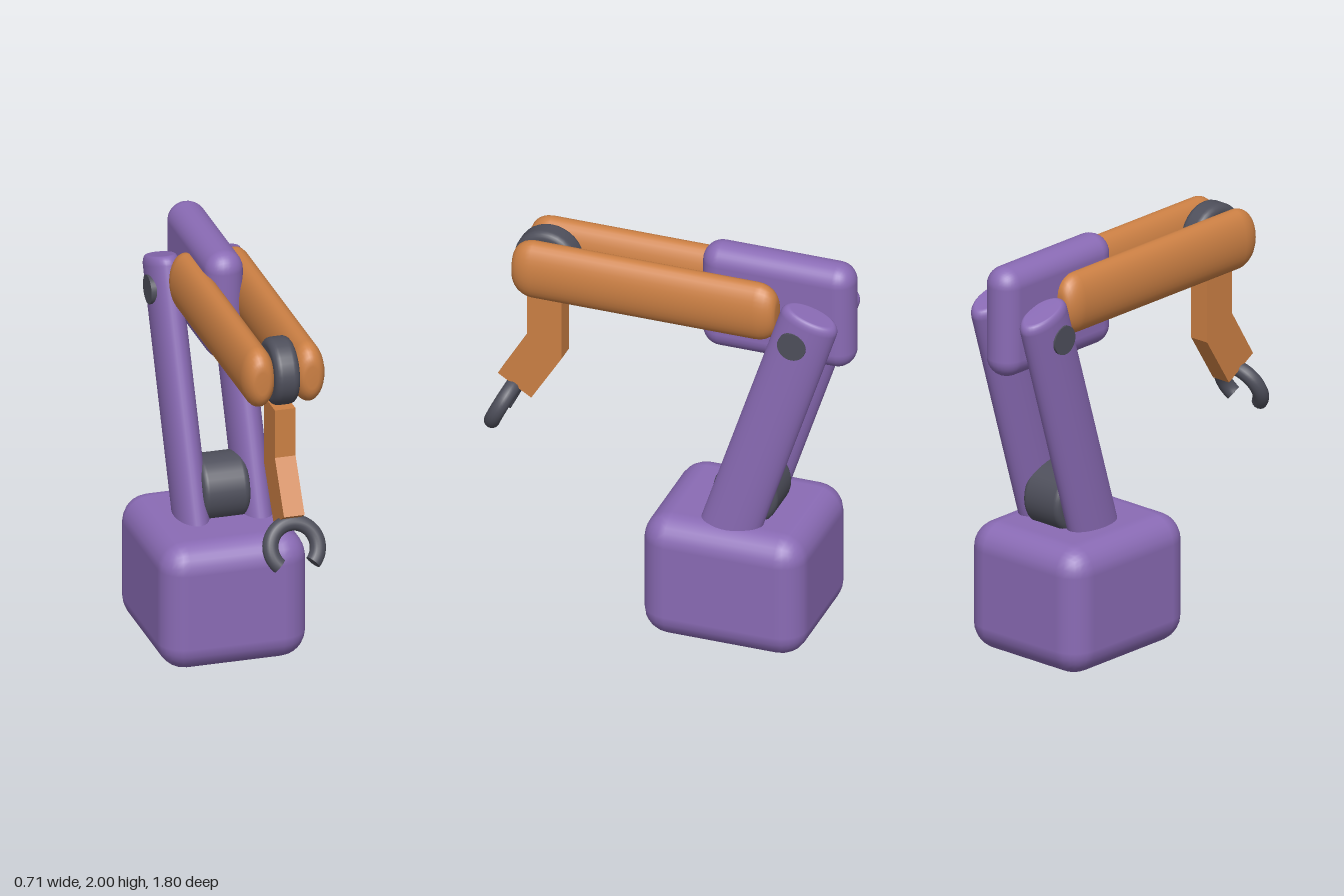
import * as THREE from 'three';
import { RoundedBoxGeometry } from 'three/addons/geometries/RoundedBoxGeometry.js';

const purple = new THREE.MeshStandardMaterial({ color: 0x8a6bb5 });
const orange = new THREE.MeshStandardMaterial({ color: 0xcc8044 });
const dark = new THREE.MeshStandardMaterial({ color: 0x4e4f5b });

// Upright cylinder of elliptical section; the rims are rounded by a fraction of the radius and a height
function roundedCylinder(rx, rz, length, rim, rimHeight) {
  const points = [new THREE.Vector2(0, -length / 2)];
  const steps = 6;
  for (const side of [-1, 1]) {
    for (let i = 0; i <= steps; i++) {
      const t = (side < 0 ? i : steps - i) / steps * Math.PI / 2;
      points.push(new THREE.Vector2(
        1 - rim + rim * Math.sin(t),
        side * (length / 2 - rimHeight + rimHeight * Math.cos(t))));
    }
  }
  points.push(new THREE.Vector2(0, length / 2));
  return new THREE.LatheGeometry(points, 32).scale(rx, 1, rz);
}

export function createModel() {
  const model = new THREE.Group();
  model.name = 'robotArm';

  const add = (name, geometry, material, x = 0, y = 0, z = 0, parent = model) => {
    const mesh = new THREE.Mesh(geometry, material);
    mesh.name = name;
    mesh.position.set(x, y, z);
    parent.add(mesh);
    return mesh;
  };

  // Base and rear counterweight
  add('base', new RoundedBoxGeometry(0.71, 0.63, 0.8, 3, 0.13), purple, 0, 0.315, -0.34);
  add('counterweight', new RoundedBoxGeometry(0.185, 0.54, 0.75, 4, 0.092), purple, 0.015, 1.73, -0.525);

  // Leaning uprights, sunk into the base
  const legLength = 1.4;
  for (const [name, topX] of [['rightUpright', -0.138], ['leftUpright', 0.168]]) {
    const leg = new THREE.Group();
    leg.name = name;
    leg.position.set(topX, 1.79, -0.735);
    leg.rotation.set(-0.316, 0, 0.025);
    model.add(leg);
    add(name + 'Beam', roundedCylinder(0.08, 0.143, legLength, 0.25, 0.045), purple, 0, -legLength / 2, 0, leg);
  }

  // Shoulder pin through both uprights, motor drum between their feet
  add('shoulderPin', new THREE.CylinderGeometry(0.07, 0.07, 0.475, 32).rotateZ(Math.PI / 2), dark, 0.016, 1.65, -0.665);
  add('motorDrum', roundedCylinder(0.16, 0.16, 0.23, 0.2, 0.032).rotateZ(Math.PI / 2), dark, 0.04, 0.74, -0.395);

  // Twin horizontal booms
  for (const [name, x] of [['rightBoom', -0.09], ['leftBoom', 0.15]]) {
    add(name, roundedCylinder(0.08, 0.148, 1.3, 0.62, 0.1).rotateX(Math.PI / 2), orange, x, 1.75, 0.09);
  }

  // Elbow wheel
  add('elbowWheel', roundedCylinder(0.16, 0.16, 0.12, 0.22, 0.035).rotateZ(Math.PI / 2), dark, 0.03, 1.75, 0.61);

  // Bent forearm, profile given as z and y
  const profile = new THREE.Shape([
    [0.70, 1.59], [0.70, 1.35], [0.845, 1.11], [0.68, 1.01], [0.53, 1.25], [0.53, 1.59],
  ].map(([z, y]) => new THREE.Vector2(z, y)));
  add('forearm', new THREE.ExtrudeGeometry(profile, { depth: 0.1, bevelEnabled: false }).rotateY(-Math.PI / 2),
    orange, 0.08, 0, 0);

  // Open claw with capped ends
  const claw = new THREE.Group();
  claw.name = 'claw';
  claw.position.set(0.035, 0.945, 0.825);
  claw.rotation.x = -0.46;
  model.add(claw);
  const ring = 0.114, tube = 0.038, start = -Math.PI / 4, arc = Math.PI * 1.5;
  add('clawRing', new THREE.TorusGeometry(ring, tube, 16, 40, arc).rotateZ(start), dark, 0, 0, 0, claw);
  for (const [name, tilt, angle] of [['leftClawTip', 1, start], ['rightClawTip', -1, start + arc]]) {
    const cap = new THREE.CircleGeometry(tube, 16).rotateX(tilt * Math.PI / 2).translate(ring, 0, 0).rotateZ(angle);
    add(name, cap, dark, 0, 0, 0, claw);
  }

  return model;
}
